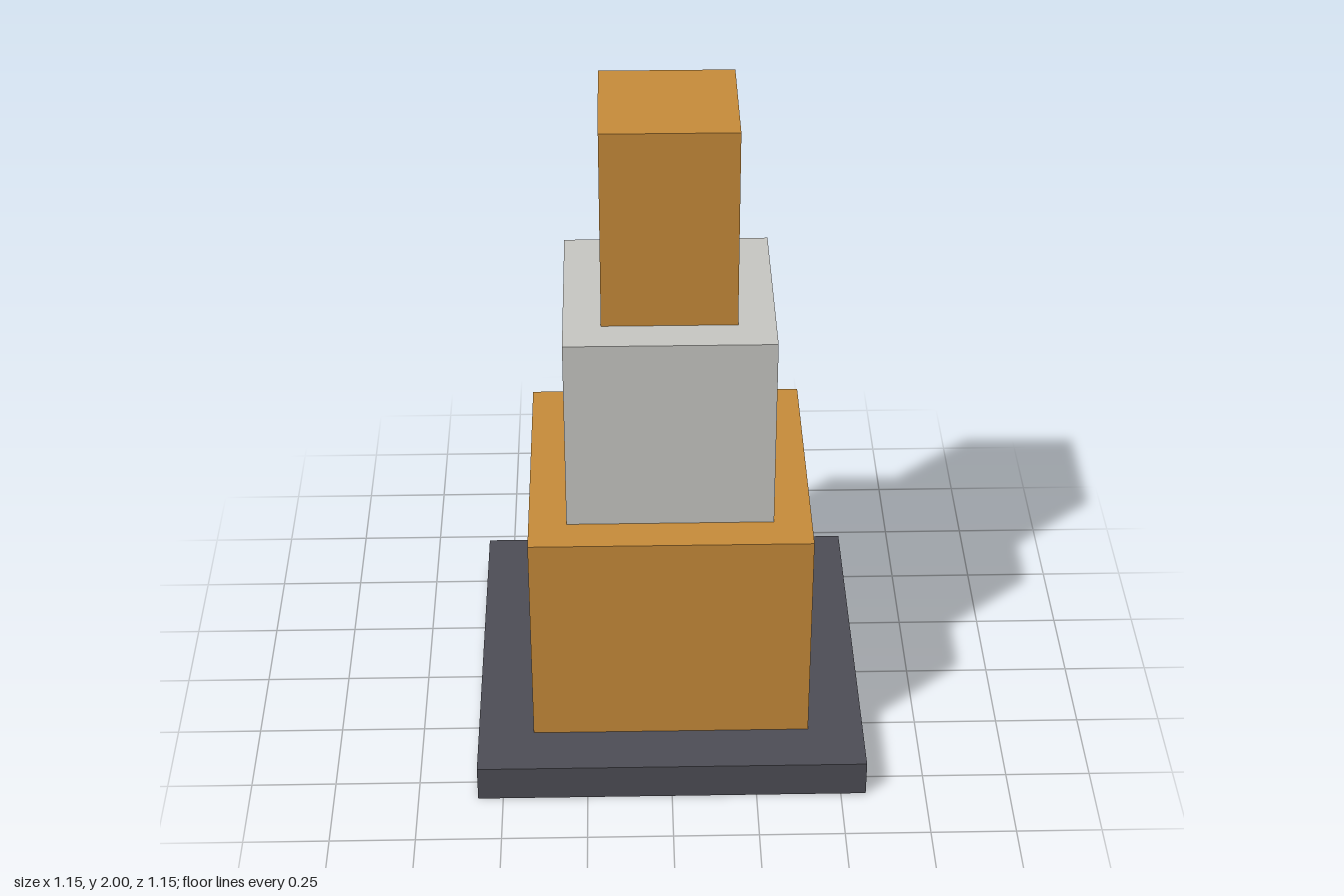
import * as THREE from 'three';

export function createModel() {
  const group = new THREE.Group();
  group.name = 'steppedTower';

  const material = (name, color) => {
    const m = new THREE.MeshStandardMaterial({ color });
    m.name = name;
    return m;
  };
  const charcoal = material('charcoal', 0x4e4e56);
  const ochre = material('ochre', 0xc88c3a);
  const paleGrey = material('paleGrey', 0xc8c8c4);

  // Square tiers, stacked from the ground up: name, width, bottom, top, material
  const tiers = [
    ['basePlate', 1.148, 0, 0.112, charcoal],
    ['lowerBlock', 0.82, 0.112, 0.796, ochre],
    ['middleBlock', 0.6, 0.796, 1.398, paleGrey],
    ['topBlock', 0.385, 1.398, 2, ochre],
  ];
  for (const [name, width, bottom, top, mat] of tiers) {
    const mesh = new THREE.Mesh(new THREE.BoxGeometry(width, top - bottom, width), mat);
    mesh.name = name;
    mesh.position.y = (bottom + top) / 2;
    group.add(mesh);
  }
  return group;
}
